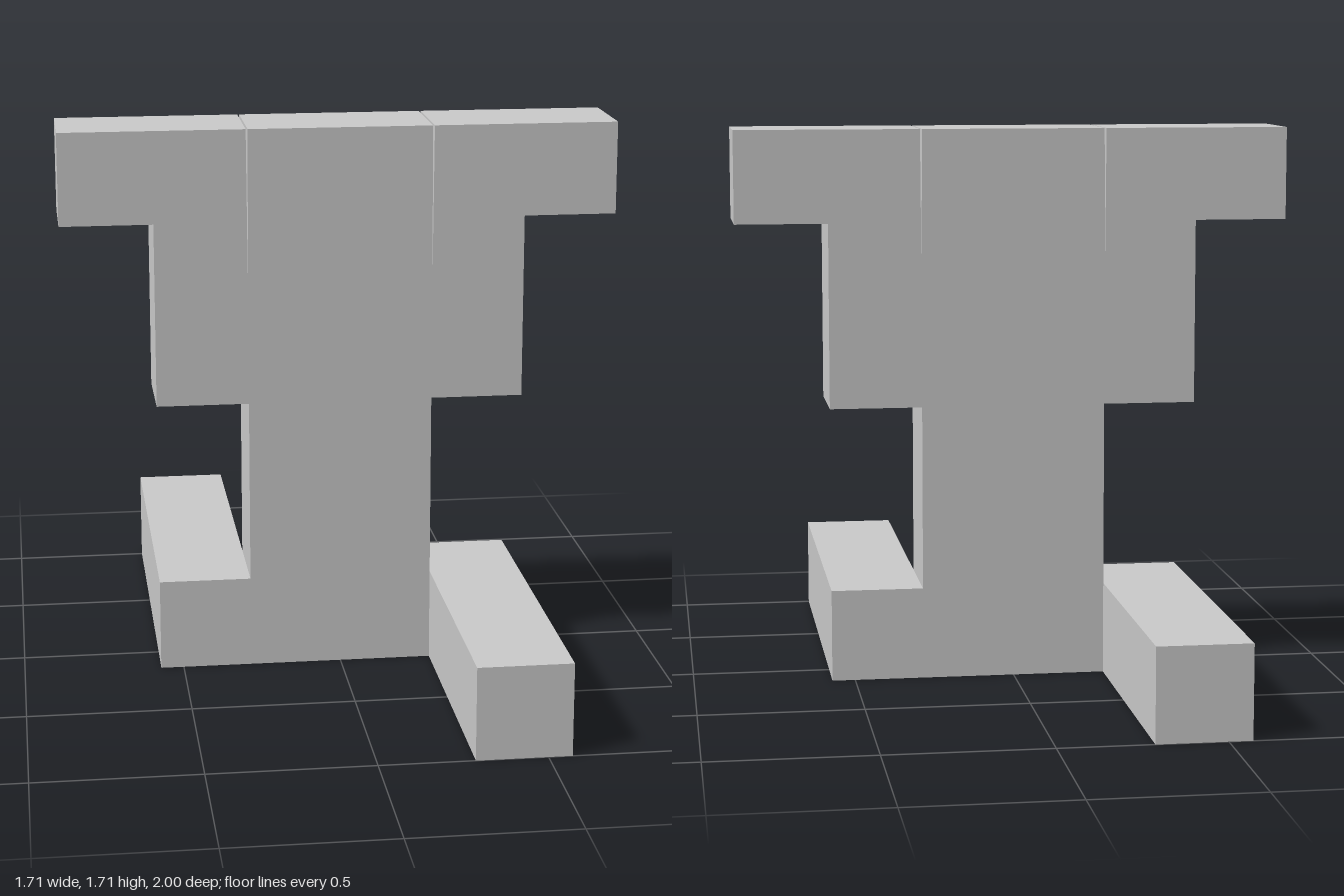
import * as THREE from 'three';

const U = 2 / 7; // one block

export function createModel() {
  const model = new THREE.Group();
  const material = new THREE.MeshStandardMaterial({ color: 0xcccccc, flatShading: true });

  const add = (name, geometry, x, y, z) => {
    const mesh = new THREE.Mesh(geometry, material);
    mesh.name = name;
    mesh.position.set(x, y, z);
    model.add(mesh);
  };

  // Torso with shoulders and arms: half outline with a thin slit beside the neck
  const slit = 0.003;
  const half = [
    [U, 0], [U, 3 * U], [2 * U, 3 * U], [2 * U, 5 * U], [3 * U, 5 * U], [3 * U, 6 * U],
    [U + slit, 6 * U], [U, 4.3 * U], [U - slit, 6 * U],
  ];
  const mirrored = half.map(([x, y]) => [-x, y]).reverse();
  const outline = new THREE.Shape([...half, ...mirrored].map(([x, y]) => new THREE.Vector2(x, y)));
  add('torsoAndArms', new THREE.ExtrudeGeometry(outline, { depth: U, bevelEnabled: false }), 0, 0, -U / 2);

  // Legs: the left one reaches forward, the right one backward
  for (const [name, side] of [['leftLeg', 1], ['rightLeg', -1]]) {
    add(name, new THREE.BoxGeometry(U, U, 4 * U), side * 1.5 * U, U / 2, side * 1.5 * U);
  }
  return model;
}
